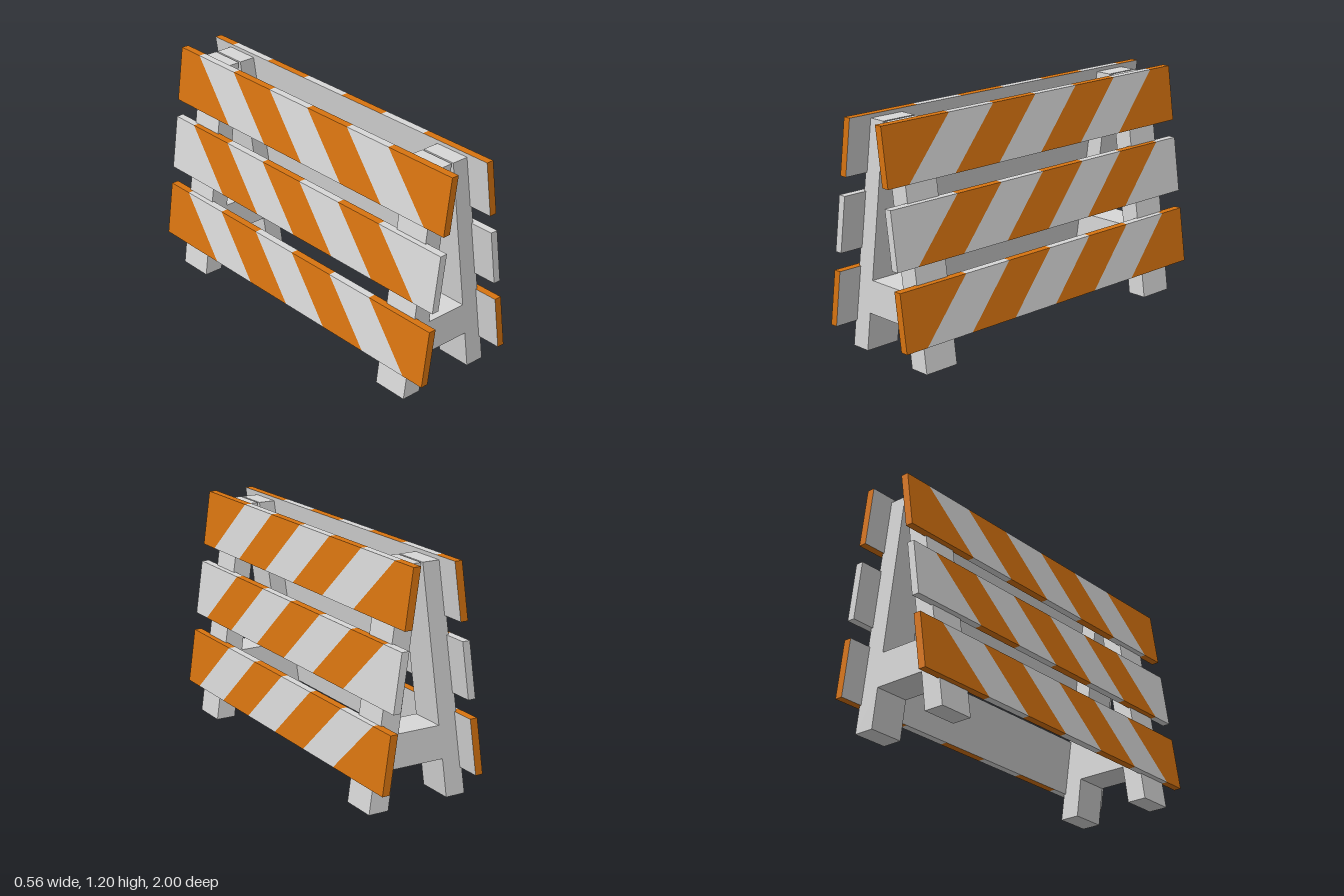
import * as THREE from 'three';

const SLOPE = 0.142;        // inward lean of the boards per unit height
const BOARD_T = 0.04;       // board thickness in x
const BOARD_H = 0.29;
const STRIPE = 0.287;       // stripe pitch along z

export function createModel() {
  const orange = new THREE.MeshStandardMaterial({ color: 0xd87410 });
  orange.name = 'safety orange';
  const white = new THREE.MeshStandardMaterial({ color: 0xd8d8d8 });
  white.name = 'off white';

  const model = new THREE.Group();
  model.name = 'roadBarricade';

  // A-frame trestle: two leaning legs joined by a crossbar
  const outline = [
    [0.272, 0], [0.105, 1.18], [0.005, 1.18], [0.114, 0.375],
    [-0.114, 0.375], [-0.005, 1.18], [-0.105, 1.18], [-0.272, 0],
    [-0.166, 0], [-0.139, 0.202], [0.139, 0.202], [0.166, 0],
  ].map(([x, y]) => new THREE.Vector2(x, y));
  const frameGeometry = new THREE.ExtrudeGeometry(new THREE.Shape(outline), { depth: 0.192, bevelEnabled: false });
  frameGeometry.translate(0, 0, -0.096);
  for (const [name, z] of [['frontFrame', 0.776], ['backFrame', -0.776]]) {
    const frame = new THREE.Mesh(frameGeometry, white);
    frame.name = name;
    frame.position.z = z;
    model.add(frame);
  }

  // Leaning board: striped outer face and edges, plain white inner face
  function board(side, y0, firstColour) {
    const y1 = y0 + BOARD_H;
    const positions = [];
    const geometry = new THREE.BufferGeometry();
    const outer = (y, z) => [side * (0.302 - SLOPE * y), y, z];
    const inner = (y, z) => [side * (0.302 - SLOPE * y - BOARD_T), y, z];
    const quad = (colour, ...corners) => {
      const [a, b, c, d] = side > 0 ? corners : corners.reverse();
      geometry.addGroup(positions.length / 3, 6, colour);
      positions.push(...a, ...b, ...c, ...a, ...c, ...d);
    };

    // Slanted stripes, each wrapping over the top and bottom edges
    for (let i = 0; i < 7; i++) {
      const colour = (firstColour + i) % 2;
      const cut = (k, start) => (k === 0 ? 1 : k === 7 ? -1 : start - STRIPE * (k - 1));
      const b0 = cut(i, 0.873), b1 = cut(i + 1, 0.873);
      const t0 = cut(i, 0.586), t1 = cut(i + 1, 0.586);
      quad(colour, outer(y0, b0), outer(y0, b1), outer(y1, t1), outer(y1, t0));
      quad(colour, outer(y1, t0), outer(y1, t1), inner(y1, t1), inner(y1, t0));
      quad(colour, inner(y0, b0), inner(y0, b1), outer(y0, b1), outer(y0, b0));
    }
    // Inner face and the two ends
    quad(1, inner(y1, 1), inner(y1, -1), inner(y0, -1), inner(y0, 1));
    quad(firstColour, inner(y0, 1), outer(y0, 1), outer(y1, 1), inner(y1, 1));
    quad(firstColour, inner(y1, -1), outer(y1, -1), outer(y0, -1), inner(y0, -1));

    geometry.setAttribute('position', new THREE.Float32BufferAttribute(positions, 3));
    geometry.computeVertexNormals();
    return new THREE.Mesh(geometry, [orange, white]);
  }

  // Three boards on each side; the middle one has swapped colours
  for (const side of [1, -1]) {
    [['lower', 0.139, 0], ['middle', 0.525, 1], ['upper', 0.91, 0]].forEach(([level, y, first]) => {
      const mesh = board(side, y, first);
      mesh.name = level + (side > 0 ? 'LeftBoard' : 'RightBoard');
      model.add(mesh);
    });
  }
  return model;
}
